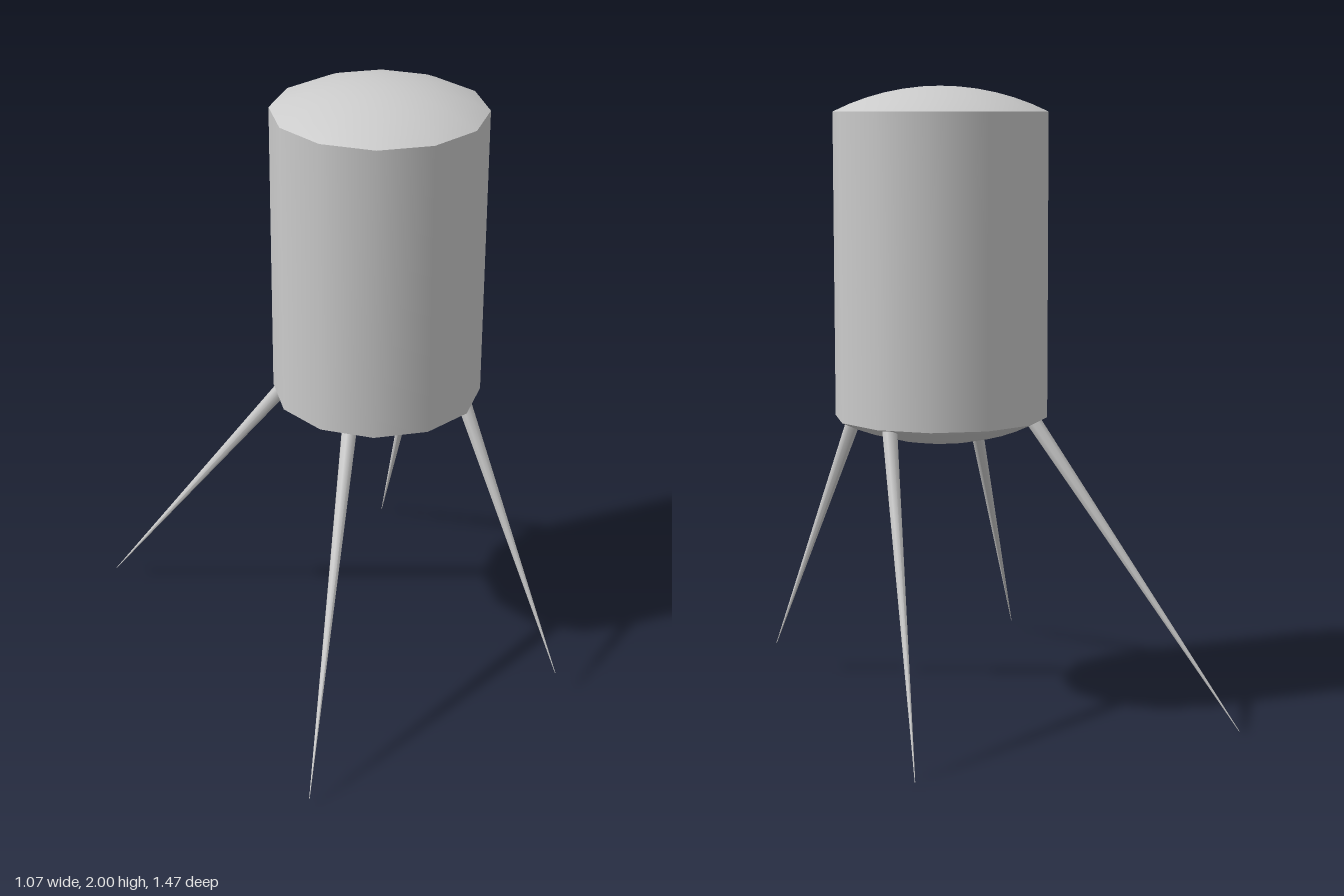
import * as THREE from 'three';

const SIDES = 12;
const RADIUS = 0.34;
const CAP_HEIGHT = 0.08;
const BOTTOM = 0.955;
const TOP = 1.92;

export function createModel() {
  const model = new THREE.Group();
  model.name = 'tankOnLegs';
  const material = new THREE.MeshStandardMaterial({ color: 0xcccccc });

  function add(parent, name, geometry) {
    const mesh = new THREE.Mesh(geometry, material);
    mesh.name = name;
    parent.add(mesh);
    return mesh;
  }

  // Tank: twelve-sided wall closed by two shallow domes
  const tank = new THREE.Group();
  tank.name = 'tank';
  tank.position.set(0.15, 0, -0.02);
  model.add(tank);

  const wall = new THREE.CylinderGeometry(RADIUS, RADIUS, TOP - BOTTOM, SIDES, 1, true);
  add(tank, 'tankWall', wall).position.y = (TOP + BOTTOM) / 2;

  const capRadius = (RADIUS ** 2 + CAP_HEIGHT ** 2) / (2 * CAP_HEIGHT);
  const dome = new THREE.SphereGeometry(
    capRadius, SIDES, 6, 0, Math.PI * 2, 0, Math.asin(RADIUS / capRadius));
  dome.translate(0, CAP_HEIGHT - capRadius, 0);
  add(tank, 'topDome', dome).position.y = TOP;
  const bottomDome = add(tank, 'bottomDome', dome);
  bottomDome.rotation.x = Math.PI;
  bottomDome.position.y = BOTTOM;

  // Legs: thin spikes from the underside to splayed tips
  const legs = [
    ['frontRightLeg', [-0.055, 0.96, 0.18], [-0.485, 0.03, 0.735]],
    ['frontLeftLeg', [0.36, 0.96, 0.175], [0.49, 0.09, 0.615]],
    ['backRightLeg', [-0.09, 0.96, -0.18], [-0.535, 0.02, -0.735]],
    ['backLeftLeg', [0.4, 0.96, -0.185], [0.535, 0, -0.67]],
  ];
  const up = new THREE.Vector3(0, 1, 0);
  for (const [name, from, to] of legs) {
    const top = new THREE.Vector3(...from);
    const tip = new THREE.Vector3(...to);
    const axis = top.clone().sub(tip);
    const leg = add(model, name, new THREE.CylinderGeometry(0.025, 0.001, axis.length(), 8));
    leg.position.copy(top).add(tip).multiplyScalar(0.5);
    leg.quaternion.setFromUnitVectors(up, axis.normalize());
  }

  return model;
}
